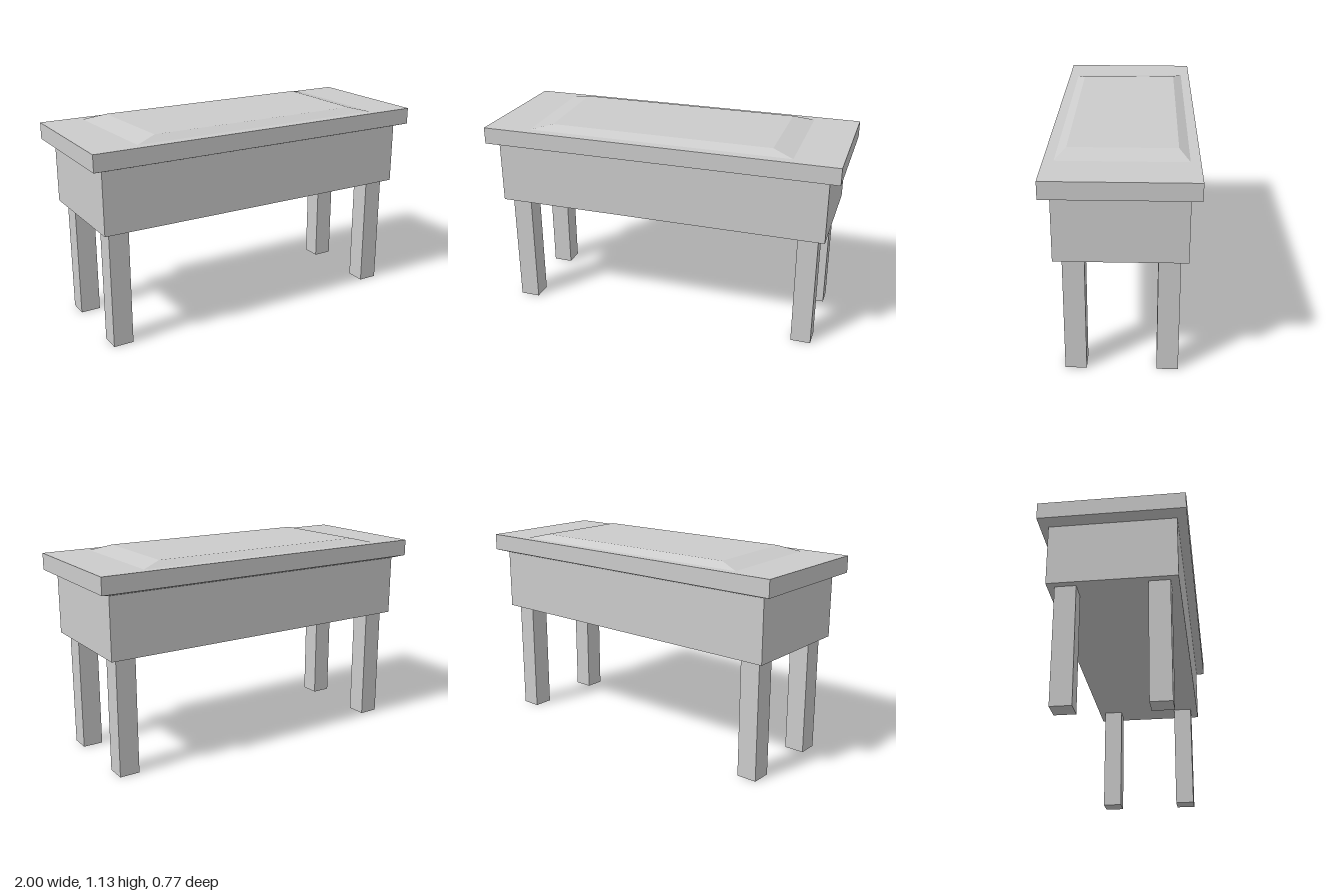
import * as THREE from 'three';

const material = new THREE.MeshStandardMaterial({ color: 0xcccccc, flatShading: true });

// Closed solid lofted through four-cornered rings, listed from bottom to top.
function loft(name, rings) {
  const positions = rings.flat(2);
  const index = [];
  for (let r = 0; r < rings.length - 1; r++) {
    for (let i = 0; i < 4; i++) {
      const a = r * 4 + i, b = r * 4 + (i + 1) % 4;
      index.push(a, b, b + 4, a, b + 4, a + 4);
    }
  }
  const t = (rings.length - 1) * 4;
  index.push(0, 2, 1, 0, 3, 2, t, t + 1, t + 2, t, t + 2, t + 3);
  const geometry = new THREE.BufferGeometry();
  geometry.setAttribute('position', new THREE.Float32BufferAttribute(positions, 3));
  geometry.setIndex(index);
  const flat = geometry.toNonIndexed();
  flat.computeVertexNormals();
  const mesh = new THREE.Mesh(flat, material);
  mesh.name = name;
  return mesh;
}

// Rectangle at height y, counter-clockwise from above; skew shifts its front edge in x.
const ring = (y, x0, x1, z0, z1, skew = 0) => [
  [x0 + skew, y, z1], [x1, y, z1], [x1, y, z0], [x0, y, z0],
];

export function createModel() {
  const model = new THREE.Group();
  model.name = 'bench';

  // Deep box under the seat
  model.add(loft('body', [
    ring(0.654, -0.94, 0.94, -0.335, 0.335),
    ring(0.995, -0.94, 0.94, -0.335, 0.335),
  ]));

  // Overhanging slab with a chamfered underside
  model.add(loft('topSlab', [
    ring(0.995, -0.94, 0.94, -0.335, 0.335),
    ring(1.012, -1, 1, -0.386, 0.386),
    ring(1.105, -1, 1, -0.386, 0.386),
  ]));

  // Low bevelled panel on top, its left end slightly out of square
  model.add(loft('raisedPanel', [
    ring(1.105, -0.77, 0.745, -0.335, 0.332, 0.03),
    ring(1.133, -0.65, 0.63, -0.282, 0.28, 0.03),
  ]));

  // Four square legs
  for (const [x, xName] of [[0.845, 'Left'], [-0.847, 'Right']]) {
    for (const [z, zName] of [[0.236, 'front'], [-0.241, 'back']]) {
      const leg = new THREE.Mesh(new THREE.BoxGeometry(0.112, 0.654, 0.112), material);
      leg.name = `${zName}${xName}Leg`;
      leg.position.set(x, 0.327, z);
      model.add(leg);
    }
  }
  return model;
}
